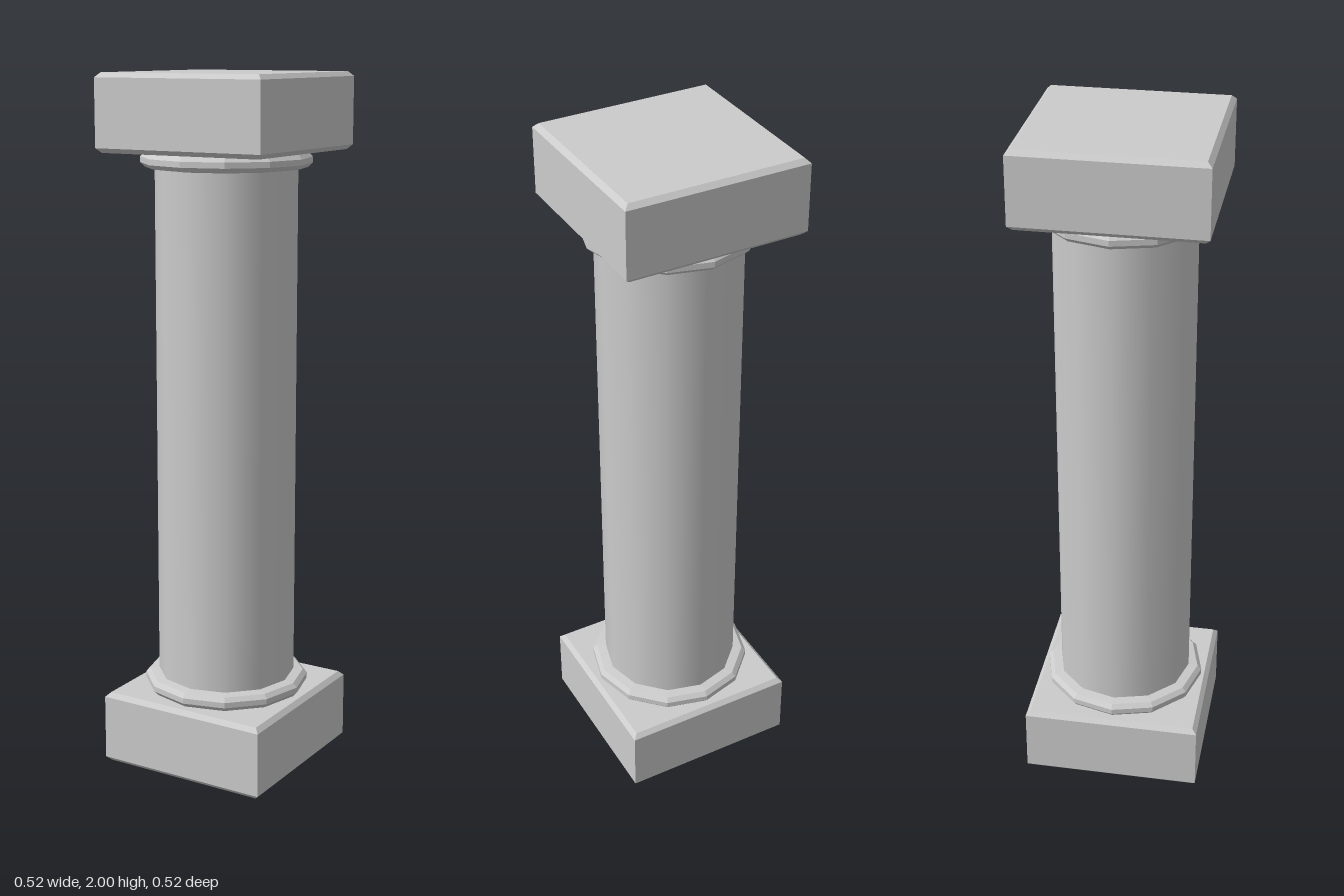
import * as THREE from 'three';

const material = new THREE.MeshStandardMaterial({ color: 0xcccccc });
const flatMaterial = new THREE.MeshStandardMaterial({ color: 0xcccccc, flatShading: true });

const SIDES = 12;
const BLOCK = { half: 0.26, height: 0.215, bevel: 0.013 };

// Square block with a small chamfer on every edge, resting on y = 0
function makeBlock(name) {
  const { half, height, bevel } = BLOCK;
  const s = half - bevel;
  const shape = new THREE.Shape([
    new THREE.Vector2(-s, -s), new THREE.Vector2(s, -s),
    new THREE.Vector2(s, s), new THREE.Vector2(-s, s),
  ]);
  const geometry = new THREE.ExtrudeGeometry(shape, {
    depth: height - 2 * bevel, bevelEnabled: true,
    bevelThickness: bevel, bevelSize: bevel, bevelSegments: 1,
  });
  geometry.rotateX(-Math.PI / 2).translate(0, bevel, 0);
  const mesh = new THREE.Mesh(geometry, flatMaterial);
  mesh.name = name;
  return mesh;
}

// Faceted collar around the end of the shaft
function makeCollar(name) {
  const profile = [
    [0.195, 0.212], [0.228, 0.217], [0.24, 0.23],
    [0.24, 0.246], [0.228, 0.258], [0.195, 0.262],
  ].map(([r, y]) => new THREE.Vector2(r, y));
  const mesh = new THREE.Mesh(new THREE.LatheGeometry(profile, SIDES), flatMaterial);
  mesh.name = name;
  return mesh;
}

// One end of the column: block and collar
function makeEnd(name) {
  const end = new THREE.Group();
  end.name = name;
  end.add(makeBlock(name + 'Block'), makeCollar(name + 'Collar'));
  return end;
}

export function createModel() {
  const column = new THREE.Group();
  column.name = 'column';

  const base = makeEnd('base');
  // The capital is the base turned upside down
  const capital = makeEnd('capital');
  capital.rotation.x = Math.PI;
  capital.position.y = 2;

  // Smooth round shaft between the two blocks
  const shaft = new THREE.Mesh(
    new THREE.CylinderGeometry(0.2, 0.2, 1.6, SIDES, 1, true), material);
  shaft.name = 'shaft';
  shaft.position.y = 1;

  column.add(base, shaft, capital);
  return column;
}
